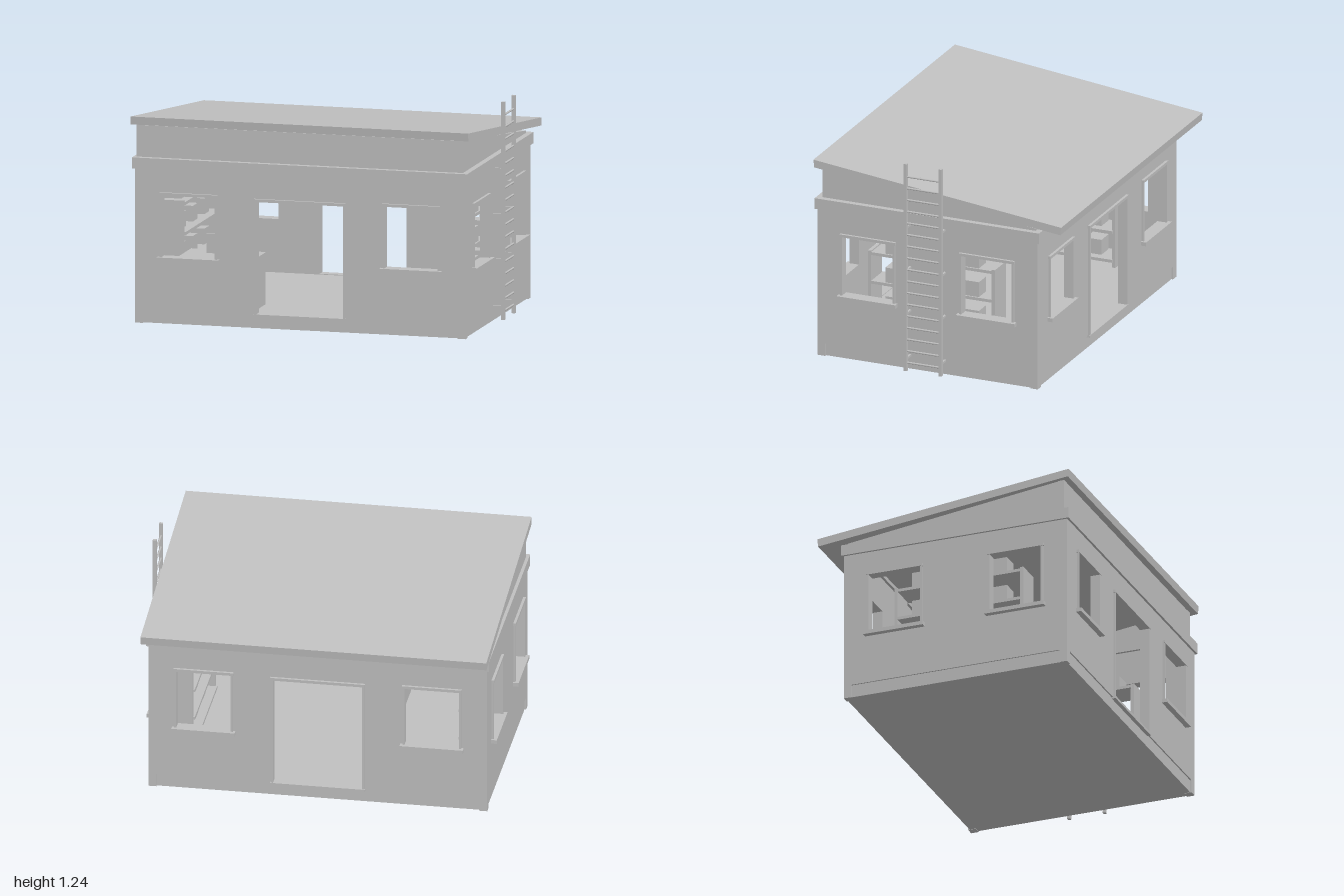
import * as THREE from 'three';

export function createModel() {
  const root = new THREE.Group();
  root.name = 'shedHouse';
  const house = new THREE.Group();
  house.name = 'house';
  house.position.set(-0.02, 0, 0.06);
  root.add(house);

  const grey = new THREE.MeshStandardMaterial({ color: 0xc0c0c0 });
  grey.name = 'plainGrey';

  const HX = 0.95, HZ = 0.665, T = 0.045;

  function add(parent, name, geometry) {
    const mesh = new THREE.Mesh(geometry, grey);
    mesh.name = name;
    parent.add(mesh);
    return mesh;
  }
  // box given by its minimum and maximum corners
  function box(parent, name, x0, x1, y0, y1, z0, z1) {
    const g = new THREE.BoxGeometry(x1 - x0, y1 - y0, z1 - z0);
    g.translate((x0 + x1) / 2, (y0 + y1) / 2, (z0 + z1) / 2);
    return add(parent, name, g);
  }
  function polygon(points) {
    return new THREE.Shape(points.map(([x, y]) => new THREE.Vector2(x, y)));
  }
  // profile in (z, y) extruded along x from x0 to x1
  function sideProfile(parent, name, points, x0, x1) {
    const g = new THREE.ExtrudeGeometry(polygon(points), { depth: x1 - x0, bevelEnabled: false });
    g.rotateY(-Math.PI / 2);
    g.translate(x1, 0, 0);
    return add(parent, name, g);
  }

  // trim around an opening, on the outside of a wall whose face is z = 0
  function trim(wall, u, w, y0, y1, isDoor) {
    const a = u - w / 2, b = u + w / 2;
    for (const [p, q] of [[a - 0.012, a], [b, b + 0.012]]) box(wall, 'jamb', p, q, y0, y1, -T, 0.012);
    box(wall, 'lintel', a - 0.015, b + 0.015, y1 - 0.003, y1 + 0.013, -T, 0.015);
    if (isDoor) box(wall, 'threshold', a - 0.015, b + 0.015, y0 - 0.015, y0, -T, 0.015);
    else box(wall, 'windowSill', a - 0.025, b + 0.025, y0 - 0.022, y0, -T, 0.032);
  }

  // wall panel with corner feet, openings, trim and top band
  function makeWall(name, half, inset, windowOffset, hasDoor, angle, distance) {
    const wall = new THREE.Group();
    wall.name = name;
    wall.rotation.y = angle;
    wall.position.set(Math.sin(angle) * distance, 0, Math.cos(angle) * distance);
    const h = half - inset, f = half - T;
    const outline = inset
      ? [[-h, 0.075], [h, 0.075], [h, 0.93], [-h, 0.93]]
      : [[-h, 0], [-f, 0], [-f, 0.075], [f, 0.075], [f, 0], [h, 0], [h, 0.93], [-h, 0.93]];
    const shape = polygon(outline);
    const openings = [-1, 1].map(s => [s * windowOffset, 0.305, 0.378, 0.727, false]);
    if (hasDoor) openings.push([0, 0.5, 0.082, 0.717, true]);
    for (const [u, w, y0, y1] of openings) {
      const a = u - w / 2, b = u + w / 2;
      shape.holes.push(new THREE.Path([[a, y0], [a, y1], [b, y1], [b, y0]].map(p => new THREE.Vector2(...p))));
    }
    const g = new THREE.ExtrudeGeometry(shape, { depth: T, bevelEnabled: false });
    g.translate(0, 0, -T);
    add(wall, 'wallPanel', g);
    for (const o of openings) trim(wall, ...o);
    box(wall, 'topBand', -half - 0.012, half + 0.012, 0.867, 0.93, -0.01, 0.013);
    house.add(wall);
  }
  makeWall('frontWall', HX, 0, 0.64, true, 0, HZ);
  makeWall('backWall', HX, 0, 0.64, true, Math.PI, HZ);
  makeWall('leftWall', HZ, T, 0.36, false, Math.PI / 2, HX);
  makeWall('rightWall', HZ, T, 0.36, false, -Math.PI / 2, HX);

  // floor slab between the corner feet
  box(house, 'floorSlab', -HX + 0.008, HX - 0.008, 0.002, 0.078, -HZ + 0.008, HZ - 0.008);

  // upper walls that carry the sloping roof
  const wedge = [[-0.645, 0.92], [0.645, 0.92], [0.645, 1.11], [-0.645, 0.942]];
  sideProfile(house, 'upperSideWall', wedge, 0.89, 0.93);
  sideProfile(house, 'upperSideWall', wedge, -0.945, -0.905);
  box(house, 'upperFrontWall', -0.945, 0.93, 0.92, 1.108, 0.605, 0.645);
  box(house, 'upperBackWall', -0.945, 0.93, 0.92, 0.942, -0.645, -0.605);

  // sloping roof slab
  sideProfile(house, 'roof', [[-0.81, 0.943], [0.677, 1.115], [0.682, 1.16], [-0.815, 0.988]], -0.97, 0.97);

  // ladder with wall brackets
  const ladder = new THREE.Group();
  ladder.name = 'ladder';
  house.add(ladder);
  for (const s of [-1, 1]) {
    const z = s * 0.105;
    box(ladder, 'ladderRail', 1.0, 1.02, 0.015, 1.24, z - 0.009, z + 0.009);
    for (const y of [0.085, 0.35, 0.605, 0.86])
      box(ladder, 'ladderBracket', HX - 0.005, 1.005, y - 0.006, y + 0.006, z - 0.006, z + 0.006);
  }
  for (let i = 0; i < 17; i++) {
    const rung = new THREE.CylinderGeometry(0.006, 0.006, 0.2, 8);
    rung.rotateX(Math.PI / 2);
    rung.translate(1.01, 0.063 + i * 0.0688, 0);
    add(ladder, 'ladderRung', rung);
  }

  // shelving along both side walls, with boxes
  for (const s of [-1, 1]) {
    const unit = new THREE.Group();
    unit.name = 'shelfUnit';
    unit.rotation.y = s > 0 ? 0 : Math.PI;
    house.add(unit);
    for (const z of [-0.374, 0.374]) box(unit, 'shelfUpright', 0.75, 0.9, 0.078, 0.645, z - 0.01, z + 0.01);
    for (const y of [0.11, 0.28, 0.45, 0.62]) {
      box(unit, 'shelfBoard', 0.74, 0.9, y, y + 0.017, -0.37, 0.37);
      for (const z of [-0.235, 0, 0.235])
        box(unit, 'storageBox', 0.79, 0.89, y + 0.017, y + 0.105, z - 0.048, z + 0.048);
    }
  }

  // desk by the front window with a screen and a small case
  const desk = new THREE.Group();
  desk.name = 'desk';
  house.add(desk);
  box(desk, 'deskTop', -0.72, -0.29, 0.35, 0.37, 0.33, 0.6);
  for (const x of [-0.71, -0.31]) box(desk, 'deskSide', x, x + 0.02, 0.078, 0.35, 0.34, 0.59);
  box(desk, 'screen', -0.6, -0.46, 0.37, 0.48, 0.43, 0.447);
  box(desk, 'smallCase', -0.59, -0.49, 0.37, 0.407, 0.393, 0.42);

  return root;
}
